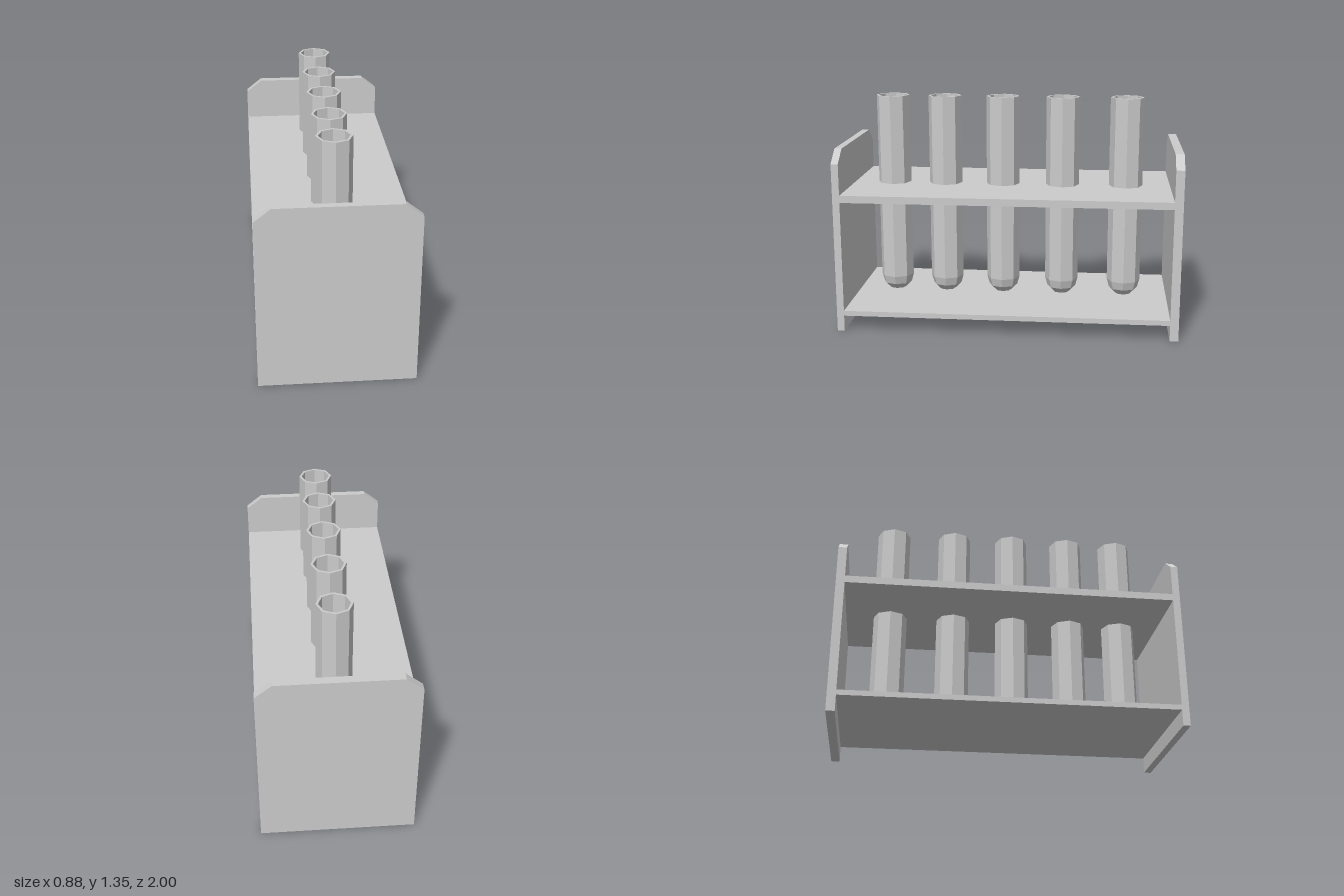
import * as THREE from 'three';

const SIDES = 8;
const OUTER = 0.1, INNER = 0.086;
const TUBE_Z = [0.72, 0.405, 0.055, -0.305, -0.685];
const HALF_W = 0.438, FRONT_Z = 0.958, BACK_Z = -0.95;

const material = new THREE.MeshStandardMaterial({ color: 0xcccccc, flatShading: true });
const tubeMaterial = new THREE.MeshStandardMaterial({ color: 0xcccccc, flatShading: true, side: THREE.DoubleSide });

// End panel with clipped upper corners, extruded from z0 to z1
function endPanel(name, z0, z1) {
  const outline = [[-HALF_W, 0], [HALF_W, 0], [HALF_W, 1.003], [0.343, 1.078], [-0.343, 1.078], [-HALF_W, 1.003]];
  const shape = new THREE.Shape(outline.map(([x, y]) => new THREE.Vector2(x, y)));
  const geometry = new THREE.ExtrudeGeometry(shape, { depth: z1 - z0, bevelEnabled: false });
  geometry.translate(0, 0, z0);
  const mesh = new THREE.Mesh(geometry, material);
  mesh.name = name;
  return mesh;
}

// Horizontal shelf, optionally pierced by an octagonal hole for each tube
function shelf(name, y0, y1, pierced) {
  const shape = new THREE.Shape([
    [-HALF_W, -FRONT_Z], [HALF_W, -FRONT_Z], [HALF_W, -BACK_Z], [-HALF_W, -BACK_Z],
  ].map(([x, y]) => new THREE.Vector2(x, y)));
  if (pierced) {
    for (const z of TUBE_Z) {
      const ring = [];
      for (let i = 0; i < SIDES; i++) {
        const a = (-i / SIDES) * Math.PI * 2;
        ring.push(new THREE.Vector2(OUTER * Math.cos(a), -z + OUTER * Math.sin(a)));
      }
      shape.holes.push(new THREE.Path(ring));
    }
  }
  const geometry = new THREE.ExtrudeGeometry(shape, { depth: y1 - y0, bevelEnabled: false });
  geometry.rotateX(-Math.PI / 2);
  geometry.translate(0, y0, 0);
  const mesh = new THREE.Mesh(geometry, material);
  mesh.name = name;
  return mesh;
}

// Hollow round-bottomed tube: outer wall up, over the rim, inner wall down
function tubeGeometry() {
  const top = 1.35, centreY = 0.23, steps = 3;
  const points = [];
  for (let i = 0; i <= steps; i++) {
    const a = (i / steps) * Math.PI / 2;
    points.push(new THREE.Vector2(OUTER * Math.sin(a), centreY - OUTER * Math.cos(a)));
  }
  points.push(new THREE.Vector2(OUTER, top), new THREE.Vector2(INNER, top));
  for (let i = steps; i >= 0; i--) {
    const a = (i / steps) * Math.PI / 2;
    points.push(new THREE.Vector2(INNER * Math.sin(a), centreY - INNER * Math.cos(a)));
  }
  return new THREE.LatheGeometry(points, SIDES);
}

export function createModel() {
  const group = new THREE.Group();
  group.name = 'testTubeRack';

  group.add(
    endPanel('frontPanel', FRONT_Z, 1),
    endPanel('backPanel', -1, BACK_Z),
    shelf('upperShelf', 0.778, 0.82, true),
    shelf('lowerShelf', 0.093, 0.123, false),
  );

  // Row of tubes
  const geometry = tubeGeometry();
  TUBE_Z.forEach((z, i) => {
    const tube = new THREE.Mesh(geometry, tubeMaterial);
    tube.name = `testTube${i + 1}`;
    tube.position.z = z;
    group.add(tube);
  });

  return group;
}
